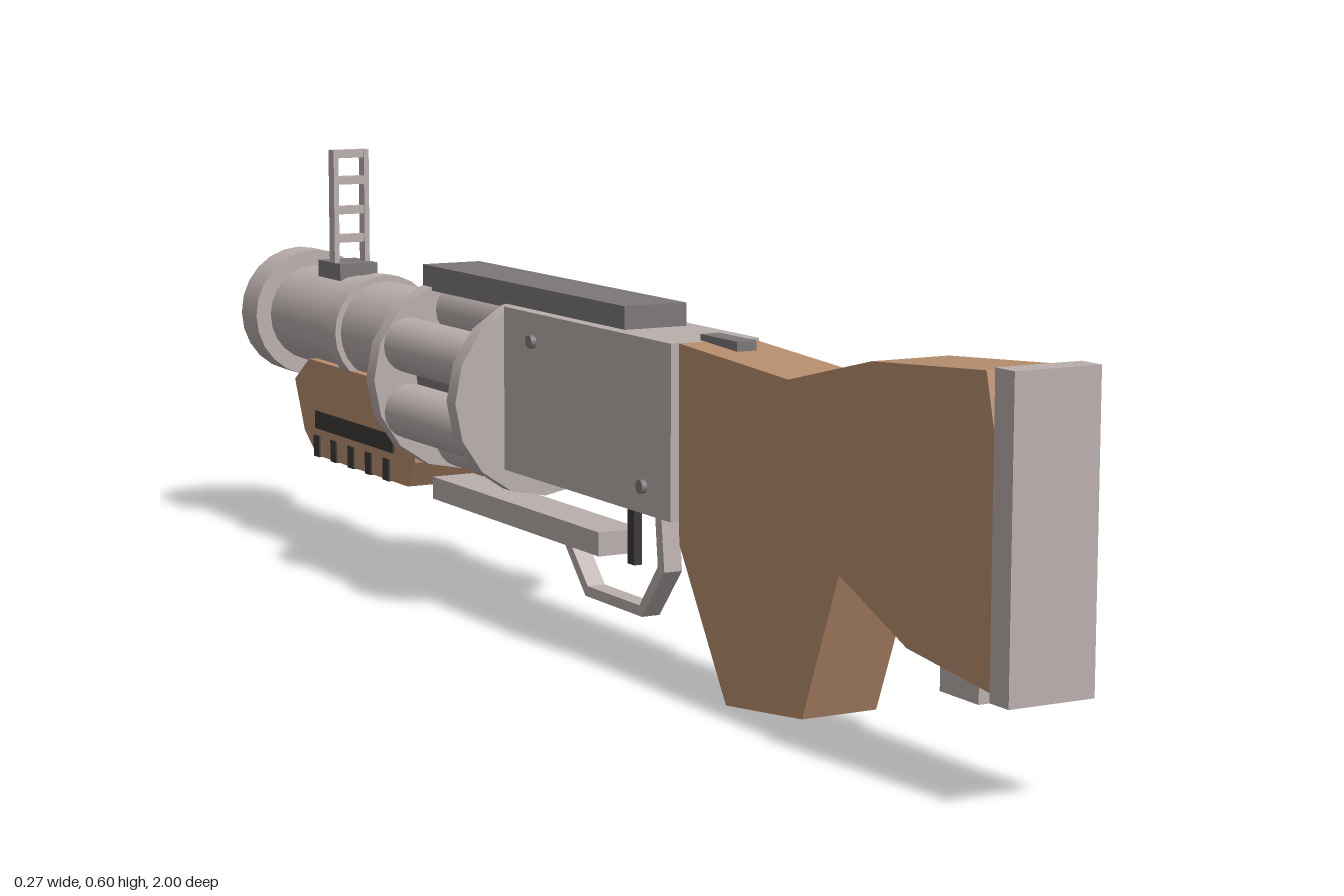
import * as THREE from 'three';

const material = (name, color) => {
  const m = new THREE.MeshStandardMaterial({ color });
  m.name = name;
  return m;
};

export function createModel() {
  const metal = material('light metal', 0xb9afad);
  const darkMetal = material('dark metal', 0x7c7779);
  const wood = material('wood', 0xb88e6e);
  const black = material('black', 0x3b3938);
  const model = new THREE.Group();
  model.name = 'launcher';

  const add = (name, geometry, mat, parent = model) => {
    const mesh = new THREE.Mesh(geometry, mat);
    mesh.name = name;
    parent.add(mesh);
    return mesh;
  };
  // Box given by its extents on each axis
  const box = (name, mat, x0, x1, y0, y1, z0, z1, parent) => {
    const g = new THREE.BoxGeometry(x1 - x0, y1 - y0, z1 - z0);
    g.translate((x0 + x1) / 2, (y0 + y1) / 2, (z0 + z1) / 2);
    return add(name, g, mat, parent);
  };
  // Cylinder along z between two depths
  const rod = (name, mat, r, x, y, z0, z1, sides = 24, parent = model) => {
    const g = new THREE.CylinderGeometry(r, r, z1 - z0, sides);
    g.rotateX(Math.PI / 2);
    g.translate(x, y, (z0 + z1) / 2);
    return add(name, g, mat, parent);
  };
  // Side outline of [z, y] points, extruded symmetrically across x
  const slab = (name, mat, points, width) => {
    const shape = new THREE.Shape(points.map(([z, y]) => new THREE.Vector2(z, y)));
    const g = new THREE.ExtrudeGeometry(shape, { depth: width, bevelEnabled: false });
    g.rotateY(-Math.PI / 2);
    g.translate(width / 2, 0, 0);
    return add(name, g, mat);
  };

  // Stock with grip, butt plate and sling mount
  slab('stock', wood, [
    [0.943, 0.474], [0.723, 0.458], [0.547, 0.416], [0.29, 0.43], [0.295, 0.18],
    [0.41, 0], [0.584, 0.02], [0.66, 0.205], [0.80, 0.147], [0.97, 0.128], [0.97, 0.367],
  ], 0.103);
  box('buttPlate', metal, -0.056, 0.056, 0.12, 0.48, 0.965, 1);
  box('slingMount', metal, -0.01, 0.01, 0.095, 0.16, 0.805, 0.88);

  // Receiver, top rail and fittings
  box('receiver', metal, -0.063, 0.063, 0.208, 0.43, -0.16, 0.293);
  box('topRail', darkMetal, -0.045, 0.045, 0.425, 0.46, -0.45, 0.143);
  box('safetyCatch', darkMetal, -0.014, 0.014, 0.415, 0.438, 0.28, 0.368);
  box('ejectionPort', black, 0.06, 0.0665, 0.303, 0.383, -0.05, 0.177);
  for (const [z, y] of [[-0.075, 0.392], [0.225, 0.243]]) {
    const g = new THREE.CylinderGeometry(0.009, 0.009, 0.14, 12);
    g.rotateZ(Math.PI / 2);
    g.translate(0, y, z);
    add('receiverPin', g, darkMetal);
  }

  // Trigger and guard made of straight bars
  box('trigger', black, -0.006, 0.006, 0.115, 0.215, 0.08, 0.098);
  slab('triggerGuard', metal, [
    [0.18, 0.21], [0.19, 0.122], [0.132, 0.054], [-0.022, 0.054], [-0.088, 0.122],
    [-0.068, 0.122], [-0.016, 0.068], [0.125, 0.068], [0.173, 0.127], [0.164, 0.21],
  ], 0.026);
  box('lowerRail', metal, -0.032, 0.032, 0.121, 0.153, -0.45, 0.05);

  // Revolving drum: two end plates, a core and six chambers
  const drum = new THREE.Group();
  drum.name = 'drum';
  model.add(drum);
  const drumY = 0.303;
  for (const z of [-0.188, -0.448]) {
    const plate = new THREE.CylinderGeometry(0.136, 0.136, 0.027, 16);
    plate.rotateY(Math.PI / 2);
    plate.rotateX(Math.PI / 2);
    plate.translate(0, drumY, z + 0.0135);
    add('drumPlate', plate, metal, drum);
  }
  rod('drumCore', darkMetal, 0.07, 0, drumY, -0.44, -0.165, 20, drum);
  for (let i = 0; i < 6; i++) {
    const a = Math.PI / 6 + i * Math.PI / 3;
    rod('chamber', metal, 0.039, Math.cos(a) * 0.094, drumY + Math.sin(a) * 0.094, -0.44, -0.165, 20, drum);
  }

  // Barrel with rings and muzzle
  const barrelY = 0.338;
  rod('barrel', metal, 0.074, 0, barrelY, -0.97, -0.44);
  rod('barrelCollar', darkMetal, 0.088, 0, barrelY, -0.488, -0.445);
  rod('barrelBand', metal, 0.083, 0, barrelY, -0.71, -0.674);
  rod('muzzle', metal, 0.098, 0, barrelY, -0.998, -0.939);
  rod('bore', black, 0.061, 0, barrelY, -1, -0.992);

  // Ladder sight on its base
  box('sightBase', darkMetal, -0.031, 0.031, 0.4, 0.43, -0.852, -0.77);
  for (const s of [-1, 1]) {
    box('sightPost', metal, s * 0.025 - 0.004, s * 0.025 + 0.004, 0.42, 0.6, -0.813, -0.794);
  }
  for (const y of [0.46, 0.503, 0.548, 0.588]) {
    box('sightRung', metal, -0.022, 0.022, y, y + 0.012, -0.812, -0.795);
  }

  // Handguard with a long slot and grip notches on both sides
  slab('handguard', wood, [
    [-0.45, 0.28], [-0.45, 0.175], [-0.475, 0.137], [-0.80, 0.137],
    [-0.845, 0.17], [-0.88, 0.245], [-0.825, 0.282],
  ], 0.12);
  for (const s of [-1, 1]) {
    const x0 = s > 0 ? 0.056 : -0.0625, x1 = x0 + 0.0065;
    box('handguardSlot', black, x0, x1, 0.179, 0.206, -0.80, -0.52);
    for (let i = 0; i < 5; i++) {
      const z = -0.546 - i * 0.0625;
      box('gripNotch', black, x0, x1, 0.1355, 0.168, z - 0.01, z + 0.01);
    }
  }
  return model;
}
